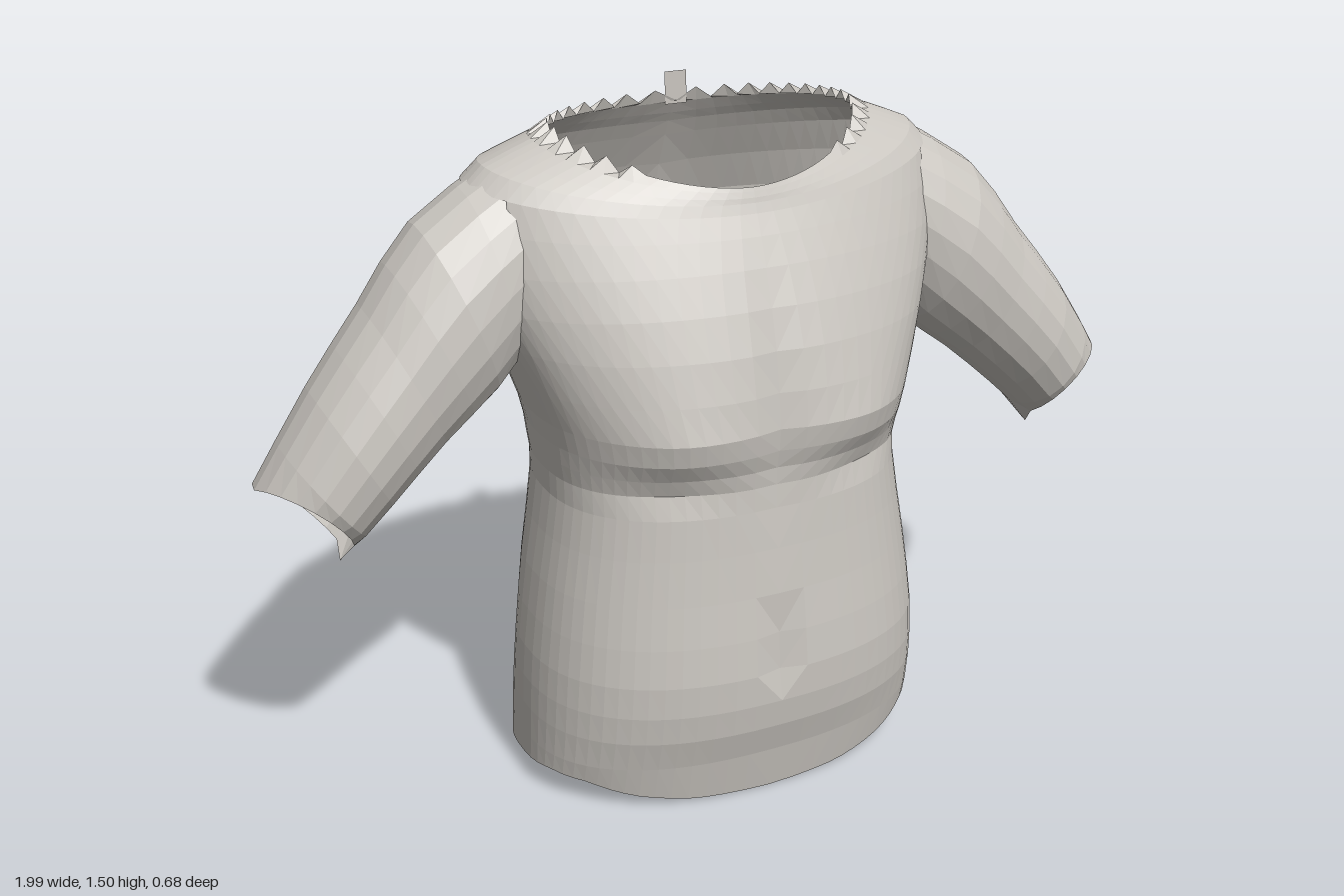
import * as THREE from 'three';

const N = 72; // columns around the torso
const grey = new THREE.MeshStandardMaterial({ color: 0xcac6c0, flatShading: true, side: THREE.DoubleSide });
grey.name = 'warm grey';

// Trunk: height, half width, front z, back z
const TRUNK = [
  [0.05, 0.47, 0.29, -0.335],
  [0.18, 0.466, 0.333, -0.3],
  [0.32, 0.457, 0.345, -0.272],
  [0.5, 0.432, 0.326, -0.294],
  [0.69, 0.4, 0.309, -0.31],
  [0.78, 0.405, 0.312, -0.314],
  [0.87, 0.42, 0.33, -0.322],
  [1.03, 0.475, 0.304, -0.34],
  [1.19, 0.525, 0.246, -0.328],
];
// Shoulders to neckline: side y, front y, back y, half width, front z, back z
const YOKE = [
  [1.35, 1.29, 1.35, 0.52, 0.202, -0.25],
  [1.405, 1.32, 1.405, 0.435, 0.192, -0.215],
  [1.44, 1.34, 1.45, 0.335, 0.185, -0.185],
];
// Hem heights from centre front to centre back
const HEM = [0, 0.008, 0.03, 0.06, 0.065, 0.05, 0.03, 0.04, 0.02, 0.08, 0.07];
// Arm sections: top x, top y, bottom x, bottom y, front z, back z
const ARM = [
  [0.45, 1.39, 0.42, 1.0, 0.1, -0.215],
  [0.63, 1.285, 0.49, 0.925, 0.13, -0.207],
  [0.75, 1.135, 0.61, 0.835, 0.138, -0.188],
  [0.87, 0.985, 0.73, 0.73, 0.145, -0.165],
  [0.995, 0.8, 0.83, 0.635, 0.125, -0.14],
];

const gauss = (v, w) => Math.exp(-(v * v) / (w * w));
const { lerp, smoothstep } = THREE.MathUtils;

// Adds a smoothly curved section halfway between each pair of sections
function refine(keys) {
  const last = keys.length - 1;
  return keys.flatMap((key, k) => {
    if (k === last) return [key];
    const before = keys[Math.max(k - 1, 0)], next = keys[k + 1], after = keys[Math.min(k + 2, last)];
    return [key, key.map((v, i) => (9 * (v + next[i]) - before[i] - after[i]) / 16)];
  });
}

// Joins rings of points into an open skin, skipping faces that the test rejects
function loft(rings, keep = () => true) {
  const n = rings[0].length, index = [];
  for (let r = 0; r < rings.length - 1; r++) {
    for (let i = 0; i < n; i++) {
      const j = (i + 1) % n;
      if (!keep(rings[r][i].clone().lerp(rings[r + 1][j], 0.5))) continue;
      const a = r * n + i, b = r * n + j, c = a + n, d = b + n;
      // diagonals run symmetrically on both halves
      if (i < n / 2) index.push(a, b, d, a, d, c);
      else index.push(a, b, c, b, d, c);
    }
  }
  const geo = new THREE.BufferGeometry().setFromPoints(rings.flat());
  geo.setIndex(index);
  geo.computeVertexNormals();
  return geo;
}

function torsoPoint([ys, yf, yb, hw, zf, zb], i) {
  const a = (i / N) * Math.PI * 2; // 0 is centre front
  const s = Math.sin(a), c = Math.cos(a);
  const n = c > 0 ? lerp(2.4, 1.8, smoothstep(ys, 0.9, 1.44)) : 2.5; // squareness
  const x = hw * Math.sign(s) * Math.abs(s) ** (2 / n);
  const y = ys + (c > 0 ? (yf - ys) * c ** 1.5 : (yb - ys) * c * c);
  const zc = -0.045 * smoothstep(y, 0.7, 1.35);
  let z = zc + ((c > 0 ? zf : zb) - zc) * Math.abs(c) ** (2 / n);
  const ax = Math.abs(x);

  if (c > 0.05) {
    // pectorals, breastbone and navel
    z += 0.02 * gauss(ax - 0.22, 0.13) * gauss(y - 0.86, 0.08);
    z -= 0.016 * gauss(ax - 0.23, 0.12) * gauss(y - 0.75, 0.035);
    z -= 0.015 * gauss(x, 0.045) * gauss(y - 0.92, 0.2);
    z -= 0.03 * gauss(x, 0.03) * gauss(y - 0.36, 0.05);
  } else if (c < -0.05) {
    // spine groove, cleft and shoulder blades
    z += 0.036 * gauss(x, 0.055) * gauss(y - 0.95, 0.35);
    z += 0.05 * gauss(x, 0.035) * gauss(y - 0.06, 0.17);
    z -= 0.006 * gauss(ax - 0.2, 0.1) * gauss(y - 1.1, 0.15);
  }
  return new THREE.Vector3(x, y, z);
}

function torsoRings() {
  const trunk = TRUNK.map(([y, ...rest]) => [y, y, y, ...rest]);
  const rings = refine([...trunk, ...YOKE]).map((row) =>
    Array.from({ length: N }, (_, i) => torsoPoint(row, i)));
  // wavy hem
  rings[0].forEach((p, i) => {
    const u = (Math.min(i, N - i) / (N / 2)) * (HEM.length - 1);
    const k = Math.min(Math.floor(u), HEM.length - 2);
    p.y = lerp(HEM[k], HEM[k + 1], u - k);
  });
  // ragged neckline, smooth at the throat
  rings.at(-1).forEach((p, i) => {
    if (p.z < 0.12) p.y += i % 2 ? 0.012 : -0.012;
  });
  return rings;
}

function armRings(side) {
  const n = 20;
  const rings = refine(ARM).map(([tx, ty, bx, by, zf, zb]) =>
    Array.from({ length: n }, (_, i) => {
      const a = (i / n) * Math.PI * 2, t = (1 + Math.cos(a)) / 2;
      return new THREE.Vector3(side * lerp(bx, tx, t), lerp(by, ty, t), lerp(zb, zf, (1 + Math.sin(a)) / 2));
    }));
  // slanted cuff with a hanging tip
  const cuff = rings.at(-1);
  cuff.forEach((p, i) => {
    const cut = Math.max(0, Math.sin((i / n) * Math.PI * 2));
    p.x -= side * 0.033 * cut;
    p.y += 0.045 * cut;
  });
  cuff[n / 2].x += side * 0.01;
  cuff[n / 2].y -= 0.025;
  if (side > 0) rings.forEach((ring) => ring.reverse());
  return rings;
}

export function createModel() {
  const model = new THREE.Group();
  model.name = 'torsoShell';
  const add = (name, geo) => {
    const mesh = new THREE.Mesh(geo, grey);
    mesh.name = name;
    model.add(mesh);
    return mesh;
  };

  // Body, left open at the neck, hem and armholes
  const outsideArmhole = (p) =>
    !(Math.abs(p.x) > 0.46 && p.y > 1.06 && p.y < 1.32 && p.z > -0.16 && p.z < 0.05);
  add('body', loft(torsoRings(), outsideArmhole));

  // Upper arms
  add('leftArm', loft(armRings(1)));
  add('rightArm', loft(armRings(-1)));

  // Small tab at the back of the neck
  add('neckTab', new THREE.PlaneGeometry(0.05, 0.07)).position.set(0, 1.465, -0.183);

  return model;
}
